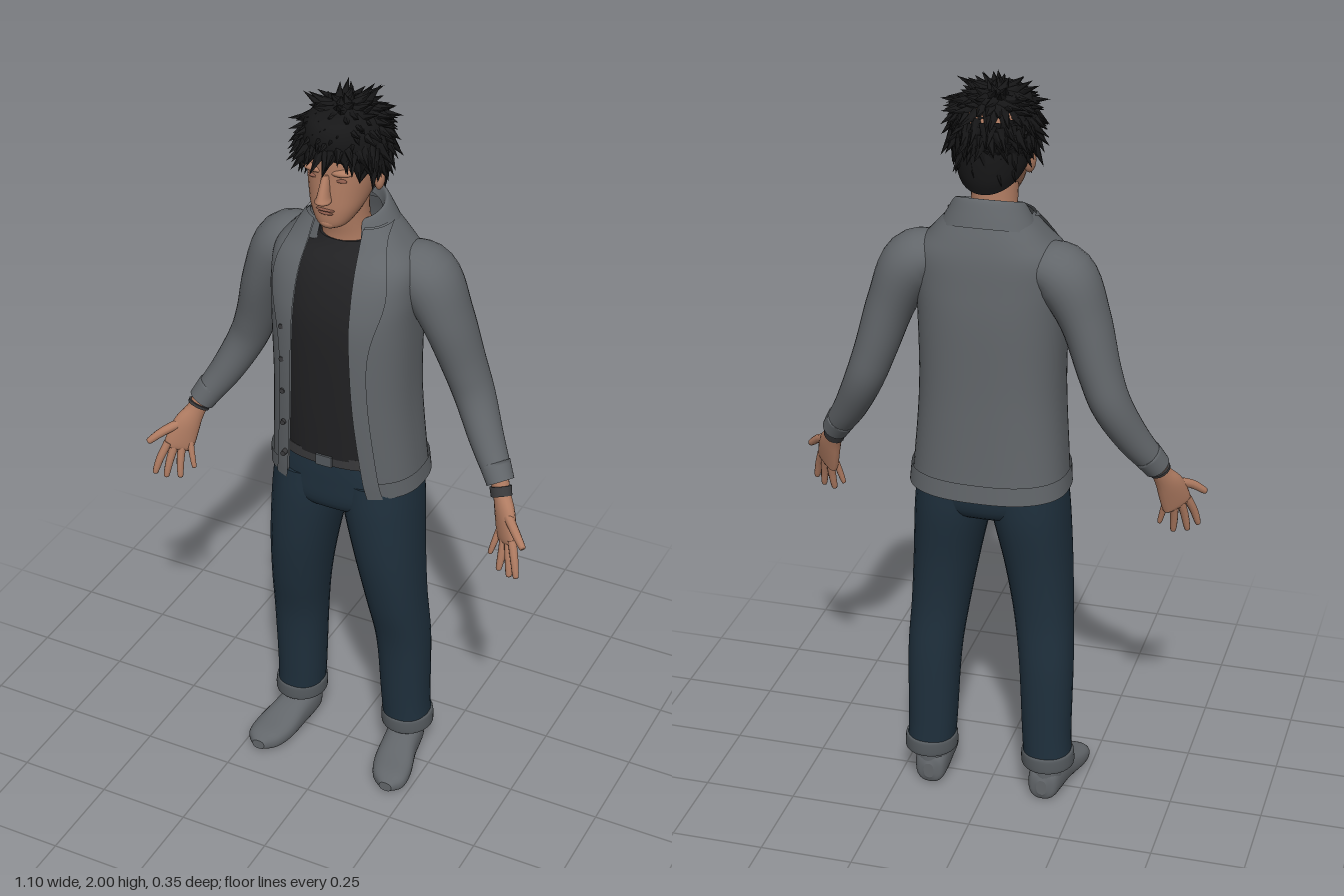
import * as THREE from 'three';
import { mergeGeometries } from 'three/addons/utils/BufferGeometryUtils.js';

const V = (x, y, z) => new THREE.Vector3(x, y, z);
const X = V(1, 0, 0), Y = V(0, 1, 0), Z = V(0, 0, 1);
const mat = (name, color) => {
  const m = new THREE.MeshStandardMaterial({ color, side: THREE.DoubleSide });
  m.name = name;
  return m;
};

// Smooth skin through sections [x, y, z, radiusU, radiusV, gap]; superellipse rings.
function loft(sections, o = {}) {
  const { n = 2, hint = X, axis = null, range = null, tilt = 0, segs = 28, steps = 5, cap = true, grow = 0 } = o;
  const curve = pts => new THREE.CatmullRomCurve3(pts, false, 'catmullrom', 0.5);
  const C = curve(sections.map(s => V(s[0], s[1], s[2])));
  const R = curve(sections.map(s => V(s[3], s[4], s[5] || 0)));
  const N = (sections.length - 1) * steps, cols = range ? segs + 1 : segs;
  const pos = [], idx = [];
  const pw = v => Math.sign(v) * Math.pow(Math.abs(v), 2 / n);
  for (let i = 0; i <= N; i++) {
    const t = i / N, c = C.getPoint(t), r = R.getPoint(t);
    const T = axis || C.getTangent(t);
    const u = hint.clone().addScaledVector(T, -hint.dot(T)).normalize();
    const v = T.clone().cross(u);
    const [f0, f1] = range ? range(r.z, r.x, c.y) : [0, Math.PI * 2];
    for (let j = 0; j < cols; j++) {
      const f = f0 + (f1 - f0) * j / segs;
      const p = c.clone().addScaledVector(u, (r.x + grow) * pw(Math.cos(f))).addScaledVector(v, (r.y + grow) * pw(Math.sin(f)));
      p.y += tilt * (1 - (o.fade ? t : 0)) * p.z;
      pos.push(p.x, p.y, p.z);
    }
  }
  for (let i = 0; i < N; i++) for (let j = 0; j < segs; j++) {
    const k = range ? j + 1 : (j + 1) % segs;
    const a = i * cols + j, b = i * cols + k, c = a + cols, d = b + cols;
    idx.push(a, b, c, b, d, c);
  }
  // flat end caps with their own vertices
  if (cap && !range) for (const end of [0, N]) {
    const base = pos.length / 3, c = C.getPoint(end / N);
    for (let j = 0; j < segs * 3; j++) pos.push(pos[end * cols * 3 + j]);
    pos.push(c.x, c.y + tilt * (o.fade && end ? 0 : 1) * c.z, c.z);
    for (let j = 0; j < segs; j++) {
      const a = base + j, b = base + (j + 1) % segs;
      end ? idx.push(a, b, base + segs) : idx.push(b, a, base + segs);
    }
  }
  const g = new THREE.BufferGeometry();
  g.setAttribute('position', new THREE.Float32BufferAttribute(pos, 3));
  g.setIndex(idx);
  g.computeVertexNormals();
  return g;
}

// Spiky locks scattered over the scalp, lying down at the sides and upright on top.
function hairLocks() {
  let seed = 7;
  const rnd = () => (seed = (seed * 16807) % 2147483647) / 2147483647;
  const locks = [];
  for (let i = 0; i < 420; i++) {
    const h = 1 - 1.85 * (i + 0.5) / 420, a = i * 2.39996, q = Math.sqrt(1 - h * h);
    const nrm = V(q * Math.cos(a), h, q * Math.sin(a));
    const p = V(nrm.x * 0.095, 1.87 + nrm.y * 0.1, 0.012 + nrm.z * 0.118);
    if (p.y < 1.8 + 0.6 * p.z + 0.015) continue;
    const down = V(nrm.x * h, -q, nrm.z * h);
    const dir = nrm.clone().multiplyScalar(h > 0.6 ? 0.6 : 0.25).addScaledVector(down, 0.8)
      .add(V((rnd() - 0.5) * 0.7, (rnd() - 0.5) * 0.3, (rnd() - 0.5) * 0.7 + 0.1)).normalize();
    let len = 0.045 + rnd() * 0.03;
    if (dir.y > 0.05) len = Math.min(len, (2 - p.y) / dir.y);
    const g = new THREE.ConeGeometry(0.016, len, 5).translate(0, len / 2, 0);
    g.applyQuaternion(new THREE.Quaternion().setFromUnitVectors(Y, dir));
    locks.push(g.translate(p.x, p.y, p.z));
  }
  return mergeGeometries(locks);
}

export function createModel() {
  const root = new THREE.Group();
  root.name = 'standingMan';
  const knit = mat('greyKnit', 0x62666a), denim = mat('navyDenim', 0x1f303d), black = mat('blackShirt', 0x212123);
  const skin = mat('skin', 0xb07c62), hair = mat('hair', 0x171718), lip = mat('lip', 0x8a5a4a);
  const cuffGrey = mat('cuffGrey', 0x54595d), dark = mat('darkLeather', 0x3a3a3c);
  const add = (name, geo, m, parent = root) => {
    const mesh = new THREE.Mesh(geo, m);
    mesh.name = name;
    parent.add(mesh);
    return mesh;
  };
  const ball = (name, m, p, s) => {
    const b = add(name, new THREE.SphereGeometry(1, 20, 14), m);
    b.position.set(...p);
    b.scale.set(...s);
    return b;
  };
  const flat = { axis: Y };

  // cardigan body, open at the front
  const n = 2.5, front = -Math.PI / 2;
  const gapAngle = (x, a) => Math.asin(Math.min(1, Math.pow(x / a, n / 2)));
  const open = (gap, a) => [front + gapAngle(gap, a), front + 2 * Math.PI - gapAngle(gap, a)];
  const body = [
    [0, 0.93, -0.02, 0.206, 0.15, 0.115], [0, 1.0, -0.013, 0.2, 0.152, 0.105], [0, 1.2, -0.002, 0.187, 0.157, 0.088],
    [0, 1.4, 0, 0.19, 0.158, 0.08], [0, 1.5, -0.005, 0.195, 0.147, 0.078], [0, 1.57, -0.015, 0.19, 0.13, 0.075],
    [0, 1.62, -0.025, 0.15, 0.108, 0.07], [0, 1.67, -0.03, 0.105, 0.085, 0.066]];
  add('cardiganBody', loft(body, { n, axis: Y, range: open, segs: 56 }), knit);
  add('cardiganHem', loft([body[0], [0, 0.98, -0.015, 0.202, 0.152, 0.108]], { n, axis: Y, range: open, segs: 56, grow: 0.005 }), knit);
  // lapels widen at the chest and run into the shawl collar
  const lapelWidth = y => 0.032 + 0.04 * Math.exp(-Math.pow((y - 1.53) / 0.12, 2));
  for (const s of [1, -1]) {
    const range = (gap, a, y) => {
      const g1 = gapAngle(gap - 0.004, a), g2 = gapAngle(gap + lapelWidth(y), a);
      return s > 0 ? [front + g1, front + g2] : [front - g2, front - g1];
    };
    add(s > 0 ? 'leftLapel' : 'rightLapel', loft(body, { n, axis: Y, range, segs: 8, grow: 0.008 }), knit);
  }
  add('shawlCollar', loft([
    [0, 1.615, -0.03, 0.13, 0.1, 0.07], [0, 1.65, -0.03, 0.112, 0.09, 0.066], [0, 1.685, -0.03, 0.092, 0.078, 0.06],
    [0, 1.69, -0.03, 0.081, 0.07, 0.056], [0, 1.66, -0.03, 0.072, 0.064, 0.054]],
    { axis: Y, range: open, tilt: -0.35, segs: 40 }), knit);
  for (let i = 0; i < 5; i++) {
    const b = add('button', new THREE.CylinderGeometry(0.007, 0.007, 0.02, 12).rotateX(Math.PI / 2), dark);
    b.position.set(-0.112, 1.02 + i * 0.095, 0.141);
  }

  // shirt, belt and hips
  add('shirt', loft([
    [0, 1.035, 0, 0.165, 0.137], [0, 1.2, 0, 0.17, 0.144], [0, 1.4, 0, 0.17, 0.147], [0, 1.5, -0.003, 0.165, 0.135],
    [0, 1.57, -0.01, 0.15, 0.116], [0, 1.61, -0.01, 0.09, 0.085], [0, 1.63, -0.008, 0.07, 0.07]], { n: 2.4, axis: Y, segs: 40 }), black);
  add('belt', loft([[0, 1.01, -0.005, 0.178, 0.136], [0, 1.042, -0.003, 0.175, 0.136]], { n: 2.4, axis: Y, segs: 40, grow: 0.003 }), dark);
  add('beltBuckle', new THREE.BoxGeometry(0.045, 0.03, 0.008), cuffGrey).position.set(0, 1.026, 0.138);
  add('jeansHips', loft([
    [0, 0.835, -0.005, 0.08, 0.07], [0, 0.87, -0.005, 0.185, 0.122], [0, 0.95, -0.008, 0.197, 0.134], [0, 1.03, -0.005, 0.178, 0.131]],
    { n: 2.4, axis: Y, segs: 40 }), denim);

  for (const s of [1, -1]) {
    const side = s > 0 ? 'left' : 'right';
    const m = list => list.map(([x, ...r]) => [x * s, ...r]);
    const part = (name, list, mt, o) => add(side + name, loft(m(list), o), mt);

    // trouser leg, turned-up cuff, ankle and foot
    part('TrouserLeg', [
      [0.165, 0.11, -0.04, 0.065, 0.068], [0.16, 0.2, -0.037, 0.066, 0.07], [0.155, 0.4, -0.028, 0.072, 0.078],
      [0.142, 0.55, -0.008, 0.078, 0.092], [0.125, 0.7, 0, 0.088, 0.111], [0.105, 0.85, -0.005, 0.1, 0.128],
      [0.095, 0.95, -0.008, 0.1, 0.13]], denim, { n: 2.2, axis: Y });
    part('TrouserCuff', [[0.165, 0.1, -0.04, 0.066, 0.069], [0.165, 0.106, -0.04, 0.072, 0.075],
      [0.164, 0.138, -0.04, 0.071, 0.074], [0.164, 0.144, -0.04, 0.066, 0.069]], cuffGrey, flat);
    part('Ankle', [[0.163, 0.03, -0.043, 0.044, 0.046], [0.163, 0.09, -0.043, 0.044, 0.047], [0.164, 0.13, -0.043, 0.045, 0.048]], knit, flat);
    part('Foot', [
      [0.16, 0.042, -0.092, 0.014, 0.022], [0.16, 0.045, -0.08, 0.038, 0.044], [0.163, 0.051, -0.04, 0.047, 0.051],
      [0.17, 0.046, 0.02, 0.05, 0.046], [0.183, 0.034, 0.09, 0.056, 0.034], [0.193, 0.027, 0.14, 0.047, 0.027],
      [0.197, 0.022, 0.168, 0.018, 0.014]], knit, { n: 2.5, axis: Z });

    // sleeve
    const arm = { hint: Z };
    part('Sleeve', [
      [0.12, 1.555, -0.04, 0.07, 0.055], [0.195, 1.525, -0.045, 0.088, 0.078], [0.25, 1.42, -0.05, 0.08, 0.064],
      [0.292, 1.29, -0.065, 0.066, 0.055], [0.325, 1.2, -0.066, 0.058, 0.051], [0.375, 1.1, -0.035, 0.047, 0.044],
      [0.43, 1.015, 0.002, 0.036, 0.035]], knit, arm);
    part('SleeveCuff', [[0.408, 1.05, -0.014, 0.041, 0.04], [0.433, 1.01, 0.004, 0.037, 0.036]], knit, arm);

    // hand with palm turned forward and thumb outward
    const hand = { hint: V(0.8 * s, 0, 0.6), segs: 16 };
    part('Palm', [
      [0.425, 1.03, 0, 0.027, 0.024], [0.443, 0.985, 0.016, 0.026, 0.022], [0.463, 0.94, 0.038, 0.038, 0.021],
      [0.477, 0.885, 0.057, 0.041, 0.015], [0.481, 0.873, 0.06, 0.034, 0.009]], skin, hand);
    const fingers = {
      Index: [[0.5, 0.895, 0.075], [0.516, 0.85, 0.094], [0.526, 0.81, 0.105]],
      Middle: [[0.485, 0.89, 0.063], [0.495, 0.84, 0.08], [0.501, 0.797, 0.09]],
      Ring: [[0.47, 0.89, 0.052], [0.47, 0.84, 0.066], [0.467, 0.797, 0.075]],
      Little: [[0.453, 0.9, 0.04], [0.443, 0.86, 0.05], [0.434, 0.825, 0.056]],
      Thumb: [[0.462, 0.955, 0.036], [0.508, 0.932, 0.082], [0.54, 0.905, 0.105]] };
    for (const [name, [a, b, c]] of Object.entries(fingers)) {
      const k = name === 'Little' ? 0.0085 : name === 'Thumb' ? 0.012 : 0.0105;
      const tip = c.map((v, i) => v + (c[i] - b[i]) * 0.1);
      part(name + 'Finger', [[...a, k * 1.1, k * 1.1], [...b, k, k], [...c, k * 0.75, k * 0.75], [...tip, k * 0.3, k * 0.3]],
        skin, { hint: Z, segs: 10, steps: 3 });
    }
    const w = s > 0 ? 1 : 0.35;
    part(s > 0 ? 'WatchStrap' : 'Bracelet', [[0.436, 1.002, 0.01, 0.031, 0.028],
      [0.436 + 0.008 * w, 1.002 - 0.022 * w, 0.01 + 0.01 * w, 0.03, 0.027]], dark, hand);

    // ear, eye and brow
    const ear = ball(side + 'Ear', skin, [s * 0.09, 1.8, 0.008], [0.014, 0.034, 0.021]);
    ear.rotation.set(-0.2, s * 0.3, 0);
    ball(side + 'EyeLid', lip, [s * 0.036, 1.822, 0.111], [0.017, 0.005, 0.007]);
    ball(side + 'BrowRidge', skin, [s * 0.036, 1.842, 0.108], [0.03, 0.01, 0.016]).rotation.z = s * 0.08;
  }

  // neck, head and face
  add('neck', loft([[0, 1.56, 0, 0.072, 0.066], [0, 1.63, -0.005, 0.067, 0.065], [0, 1.68, 0.008, 0.059, 0.059],
    [0, 1.76, 0.018, 0.06, 0.062]], flat), skin);
  add('head', loft([
    [0, 1.684, 0.075, 0.022, 0.028], [0, 1.698, 0.07, 0.042, 0.05], [0, 1.735, 0.05, 0.064, 0.074],
    [0, 1.78, 0.025, 0.078, 0.098], [0, 1.83, 0.014, 0.085, 0.107], [0, 1.88, 0.01, 0.086, 0.11],
    [0, 1.93, 0.005, 0.08, 0.1], [0, 1.965, 0, 0.04, 0.05]], { n: 2.2, axis: Y, segs: 36 }), skin);
  add('nose', loft([[0, 1.76, 0.125, 0.012, 0.012], [0, 1.77, 0.134, 0.02, 0.024], [0, 1.785, 0.13, 0.015, 0.024],
    [0, 1.835, 0.116, 0.009, 0.012]], { axis: Y, segs: 16 }), skin);
  ball('upperLip', lip, [0, 1.742, 0.121], [0.025, 0.004, 0.009]);
  ball('lowerLip', lip, [0, 1.733, 0.119], [0.021, 0.005, 0.009]);
  ball('chin', skin, [0, 1.702, 0.103], [0.026, 0.017, 0.02]);

  // hair cap, low at the nape and high over the brow, with loose locks
  add('hairCap', loft([
    [0, 1.8, 0.01, 0.09, 0.113], [0, 1.83, 0.011, 0.098, 0.124], [0, 1.88, 0.012, 0.102, 0.127],
    [0, 1.93, 0.012, 0.093, 0.114], [0, 1.962, 0.012, 0.068, 0.082], [0, 1.978, 0.012, 0.02, 0.03]],
    { axis: Y, tilt: 0.6, fade: true, segs: 36, cap: false }), hair);
  add('hairLocks', hairLocks(), hair);
  return root;
}
